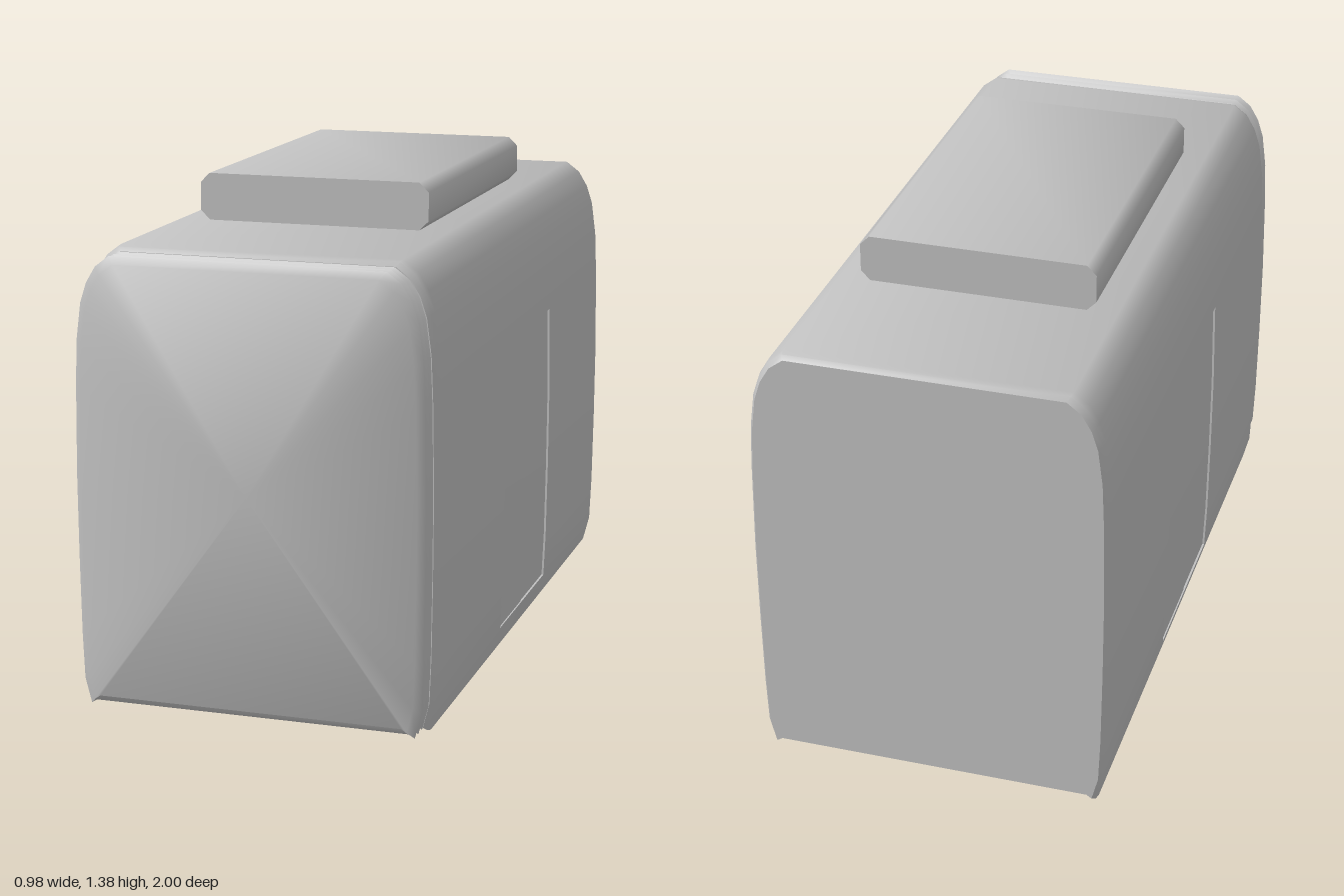
import * as THREE from 'three';
import { toCreasedNormals } from 'three/addons/utils/BufferGeometryUtils.js';

const grey = new THREE.MeshStandardMaterial({ color: 0xc0c0c0 });
grey.name = 'grey';

// Half cross-section from floor to roof: x, y, and 1 where the door is set in
const HALF = [
  [0.45, 0.01, 0], [0.465, 0, 0], [0.483, 0.07, 0], [0.483, 0.07, 1], [0.488, 0.2, 1],
  [0.491, 0.42, 1], [0.492, 0.65, 1], [0.488, 0.9, 1], [0.488, 0.9, 0], [0.483, 1.02, 0],
  [0.47, 1.12, 0], [0.452, 1.175, 0], [0.425, 1.22, 0], [0.385, 1.25, 0],
];

// One closed ring at z, shrunk by inset, with door depths on the left and right
function ring(z, inset = 0, left = 0, right = 0) {
  const point = (side, depth) => ([x, y, door]) => new THREE.Vector3(
    side * (x * (1 - inset / 0.49) - door * depth),
    0.625 + (y - 0.625) * (1 - inset / 0.625), z);
  return [...HALF.map(point(1, left)), ...HALF.map(point(-1, right)).reverse()];
}

// Skin between successive rings, with optional end caps
function loft(rings, capBack, capFront) {
  const pos = [];
  const tri = (a, b, c) => {
    const area = b.clone().sub(a).cross(c.clone().sub(a)).length();
    if (area > 1e-9) for (const p of [a, b, c]) pos.push(p.x, p.y, p.z);
  };
  const n = rings[0].length;
  for (let i = 0; i < rings.length - 1; i++) {
    for (let j = 0; j < n; j++) {
      const k = (j + 1) % n;
      tri(rings[i][j], rings[i][k], rings[i + 1][k]);
      tri(rings[i][j], rings[i + 1][k], rings[i + 1][j]);
    }
  }
  const cap = (r, front) => {
    const centre = new THREE.Vector3(0, 0.625, r[0].z);
    for (let j = 0; j < n; j++) {
      const a = r[j], b = r[(j + 1) % n];
      if (front) tri(centre, a, b); else tri(centre, b, a);
    }
  };
  if (capBack) cap(rings[0], false);
  if (capFront) cap(rings[rings.length - 1], true);
  const geo = new THREE.BufferGeometry();
  geo.setAttribute('position', new THREE.Float32BufferAttribute(pos, 3));
  return toCreasedNormals(geo, 0.75);
}

export function createModel() {
  const group = new THREE.Group();
  const add = (name, geo) => {
    const mesh = new THREE.Mesh(geo, grey);
    mesh.name = name;
    group.add(mesh);
  };

  // Body shell with softened ends and shallow two-leaf doors in both sides
  add('body', loft([
    ring(-1, 0.012), ring(-0.985, 0.003), ring(-0.965),
    ring(-0.32), ring(-0.32, 0, 0.006, 0.004),
    ring(-0.045, 0, 0.006, 0.004), ring(-0.045, 0, 0.004, 0.006),
    ring(0.213, 0, 0.004, 0.006), ring(0.213),
    ring(0.875), ring(0.892, 0.004), ring(0.905, 0.014),
  ], true, true));

  // Folded bellows at the front end
  const folds = [];
  for (let i = 0; i <= 6; i++) folds.push(ring(0.9 + i / 60, i % 2 ? 0.013 : 0.032));
  add('bellows', loft(folds, false, true));

  // Roof unit with chamfered long edges
  const w = 0.327, c = 0.026, y0 = 1.25, y1 = 1.38;
  const outline = new THREE.Shape([
    [-w + c, y0], [w - c, y0], [w, y0 + c], [w, y1 - c],
    [w - c, y1], [-w + c, y1], [-w, y1 - c], [-w, y0 + c],
  ].map(([x, y]) => new THREE.Vector2(x, y)));
  const unit = new THREE.ExtrudeGeometry(outline, { depth: 0.98, bevelEnabled: false });
  unit.translate(0, 0, -0.54);
  add('roofUnit', toCreasedNormals(unit, 0.9));

  return group;
}
